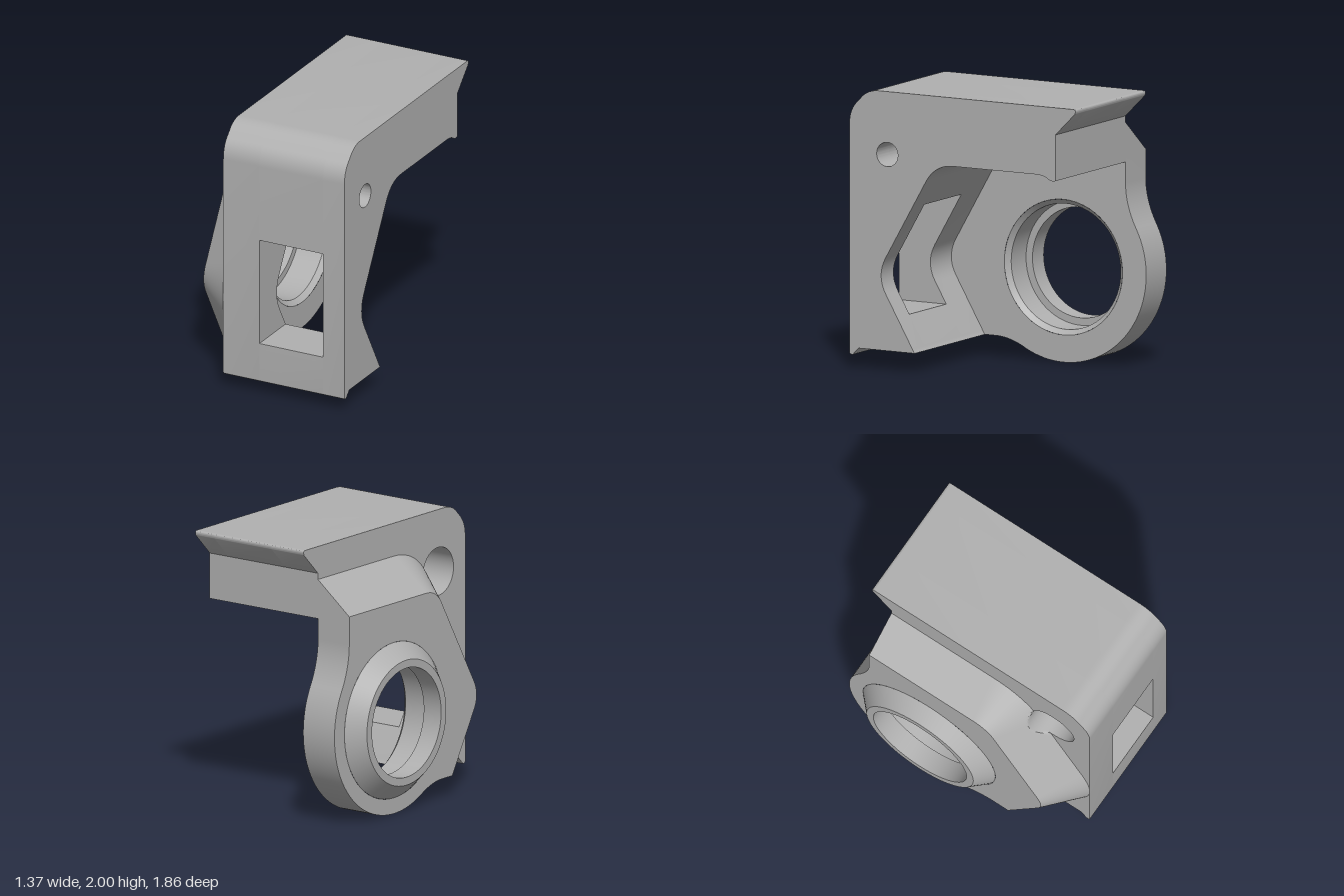
import * as THREE from 'three';
import { mergeGeometries, toCreasedNormals } from 'three/addons/utils/BufferGeometryUtils.js';

// Side profiles use (s, y) with s = -z; depth runs along x.
const C = { s: 0.25, y: 0.68 };          // bore centre
const SCREW = { s: -0.62, y: 1.55 };     // screw hole centre
const X0 = -0.57, X1 = -0.29;            // plate faces
const R_COUNTERBORE = 0.175;

const circle = (c, r) => new THREE.Path().absarc(c.s, c.y, r, 0, Math.PI * 2, true);
const toSide = (g) => toCreasedNormals(g.rotateY(Math.PI / 2), 0.5);

// Bracket profile with the hexagonal pocket open towards the back
function bracketProfile() {
  const p = new THREE.Shape();
  p.moveTo(-0.93, 0.11);
  p.quadraticCurveTo(-0.93, 0.095, -0.905, 0.095);
  p.lineTo(-0.855, 0.145);
  p.lineTo(-0.395, 0.145);
  p.quadraticCurveTo(-0.405, 0.155, -0.42, 0.185);
  p.lineTo(-0.633, 0.55);
  p.quadraticCurveTo(-0.708, 0.68, -0.633, 0.81);
  p.lineTo(-0.304, 1.38);
  p.quadraticCurveTo(-0.229, 1.51, -0.079, 1.51);
  p.lineTo(0.62, 1.51);
  p.quadraticCurveTo(0.67, 1.505, 0.7, 1.485);
  p.quadraticCurveTo(0.73, 1.465, 0.76, 1.475);
  p.lineTo(0.76, 1.805);
  p.lineTo(0.92, 1.965);
  p.quadraticCurveTo(0.935, 2, 0.905, 2);
  p.lineTo(-0.69, 2);
  p.quadraticCurveTo(-0.785, 2, -0.84, 1.935);
  p.lineTo(-0.87, 1.905);
  p.quadraticCurveTo(-0.93, 1.845, -0.93, 1.75);
  return p.getPoints(10);
}

// Keeps the part of a polygon above (sign 1) or below (sign -1) a height
function clip(points, h, sign) {
  const out = [];
  points.forEach((a, i) => {
    const b = points[(i + 1) % points.length];
    const da = (a.y - h) * sign, db = (b.y - h) * sign;
    if (da >= 0) out.push(a);
    if (da * db < 0) out.push(a.clone().lerp(b, da / (da - db)));
  });
  return out;
}

function slab(points, xa, xb, holeRadius) {
  const shape = new THREE.Shape(points);
  if (holeRadius) shape.holes.push(circle(SCREW, holeRadius));
  const g = new THREE.ExtrudeGeometry(shape, { depth: xb - xa, bevelEnabled: false, curveSegments: 40 });
  return toSide(g.translate(0, 0, xa));
}

// Plate outline: half hexagon of apothem a, blended into a round lug
function plateOutline(x) {
  const k = (x - X0) / (X1 - X0);
  const a = THREE.MathUtils.lerp(0.85, 1.08, k);
  const t = THREE.MathUtils.lerp(0.12, 0.27, k);
  const top = C.y + a, ul = C.s - 0.5774 * a, left = C.s - 1.1547 * a;
  const p = new THREE.Path();
  p.moveTo(0.76, top);
  p.lineTo(ul + t, top);
  const from = new THREE.Vector2(ul - t * 0.5, top - t * 0.866);
  const to = new THREE.Vector2(left + t * 0.5, C.y + t * 0.866);
  p.quadraticCurveTo(ul, top, from.x, from.y);
  for (let i = 1; i <= 32; i++) {
    const q = from.clone().lerp(to, i / 32);
    p.lineTo(q.x, q.y);
  }
  p.quadraticCurveTo(left, C.y, left + t * 0.5, C.y - t * 0.866);
  p.lineTo(C.s - (a - 0.2675) / 0.866, 0.145);
  p.lineTo(-0.31, 0.145);
  p.quadraticCurveTo(-0.19, 0.145, -0.07, 0.08);
  p.absarc(C.s, C.y, 0.68, -2.06, 0.497, false);
  p.quadraticCurveTo(0.76, 1.166, 0.76, 1.33);
  // Push points out of the counterbore
  return p.getPoints(20).map((q) => {
    const ds = q.x - SCREW.s, dy = q.y - SCREW.y;
    const n = -0.866 * ds + 0.5 * dy, e = 0.5 * ds + 0.866 * dy;
    const room = R_COUNTERBORE ** 2 - e * e;
    const push = room > 0 ? Math.max(0, n + Math.sqrt(room)) : 0;
    return new THREE.Vector2(q.x + 0.866 * push, q.y - 0.5 * push);
  });
}

function plateGeometry() {
  const xs = [X0, -0.38, -0.37, -0.36, -0.35, -0.335, -0.32, -0.305, X1];
  const loops = xs.map(plateOutline);
  const n = loops[0].length, pos = [], idx = [];
  loops.forEach((l, k) => l.forEach((q) => pos.push(q.x, q.y, xs[k])));
  for (let k = 0; k < xs.length - 1; k++) {
    for (let i = 0; i < n; i++) {
      const j = (i + 1) % n, a = k * n + i, b = k * n + j;
      idx.push(a, b, b + n, a, b + n, a + n);
    }
  }
  const side = new THREE.BufferGeometry();
  side.setAttribute('position', new THREE.Float32BufferAttribute(pos, 3));
  side.setIndex(idx);
  const cap = (loop, x, radius, flip) => {
    const shape = new THREE.Shape(loop);
    shape.holes.push(circle(C, radius));
    const g = new THREE.ShapeGeometry(shape, 64).translate(0, 0, x);
    if (flip) g.index.array.reverse();
    g.deleteAttribute('uv');
    g.deleteAttribute('normal');
    return g.toNonIndexed();
  };
  return toSide(mergeGeometries([
    side.toNonIndexed(),
    cap(loops[0], X0, 0.565, true),
    cap(loops[loops.length - 1], X1, 0.485, false),
  ]));
}

export function createModel() {
  const model = new THREE.Group();
  const grey = new THREE.MeshStandardMaterial({ color: 0xb0b0b0 });
  grey.name = 'grey';
  const add = (name, geometry, parent = model) => {
    const mesh = new THREE.Mesh(geometry, grey);
    mesh.name = name;
    parent.add(mesh);
    return mesh;
  };

  // Bracket, sliced along x so the front window stays open
  const bracket = new THREE.Group();
  bracket.name = 'bracket';
  model.add(bracket);
  const profile = bracketProfile();
  add('innerSlab', slab(profile, X1, 0, R_COUNTERBORE), bracket);
  add('aboveWindow', slab(clip(profile, 1.185, 1), 0, 0.51, 0.087), bracket);
  add('belowWindow', slab(clip(profile, 0.39, -1), 0, 0.51), bracket);
  add('outerSlab', slab(profile, 0.51, 0.68, 0.087), bracket);

  // Plate with tapered hexagonal sides and a round lug
  add('bearingPlate', plateGeometry());

  // Stepped bore and conical boss
  const bore = [
    [0.485, X1], [0.45, -0.325], [0.45, -0.53], [0.397, -0.53],
    [0.397, -0.685], [0.455, -0.685], [0.565, X0],
  ].map(([r, x]) => new THREE.Vector2(r, x));
  const boss = add('boreBoss', toCreasedNormals(new THREE.LatheGeometry(bore, 64).rotateZ(-Math.PI / 2), 0.5));
  boss.position.set(0, C.y, -C.s);

  return model;
}
